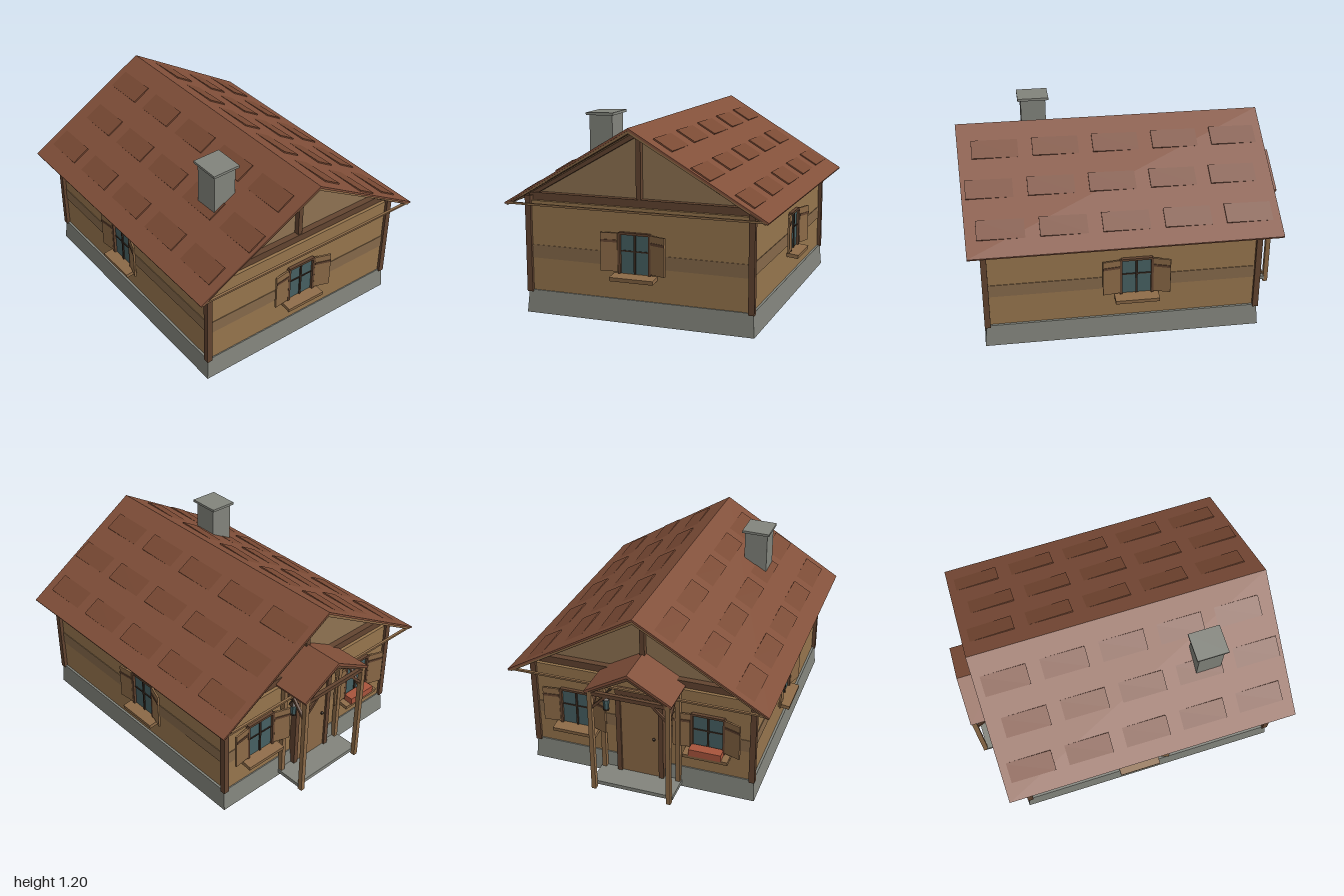
import * as THREE from 'three';

const mat = (color, side = THREE.FrontSide) =>
  new THREE.MeshStandardMaterial({ color, side, flatShading: true });
const M = {
  wall: mat(0x96754d), band: mat(0x86694a), gable: mat(0x8f7352), stone: mat(0x82847c),
  beam: mat(0x624430), trim: mat(0x8c6a47), roof: mat(0x82503a), tile: mat(0x7a4a34),
  glass: mat(0x466062), flower: mat(0xa8543c), dark: mat(0x3a2c22),
};

function add(parent, name, geo, material, x = 0, y = 0, z = 0) {
  const m = new THREE.Mesh(geo, material);
  m.name = name;
  m.position.set(x, y, z);
  parent.add(m);
  return m;
}

// box given by its min and max on each axis
function block(parent, name, material, x0, x1, y0, y1, z0, z1) {
  return add(parent, name, new THREE.BoxGeometry(x1 - x0, y1 - y0, z1 - z0), material,
    (x0 + x1) / 2, (y0 + y1) / 2, (z0 + z1) / 2);
}

// square bar between two points
function bar(parent, name, material, a, b, w, d = w) {
  const A = new THREE.Vector3(...a), B = new THREE.Vector3(...b);
  const m = add(parent, name, new THREE.BoxGeometry(w, d, A.distanceTo(B)), material);
  m.position.copy(A).add(B).multiplyScalar(0.5);
  m.lookAt(B);
  return m;
}

// outline in x,y pushed along z from z0 to z1
function prism(parent, name, material, pts, z0, z1) {
  const shape = new THREE.Shape(pts.map(p => new THREE.Vector2(...p)));
  const geo = new THREE.ExtrudeGeometry(shape, { depth: z1 - z0, bevelEnabled: false });
  return add(parent, name, geo.translate(0, 0, z0), material);
}

// window facing +z with its wall surface at z = 0
function makeWindow(x, z, turn, glassW, flowers) {
  const g = new THREE.Group();
  g.name = 'window';
  const h = glassW / 2, y0 = 0.3, y1 = 0.54;
  block(g, 'glass', M.glass, -h, h, y0, y1, -0.02, 0.006);
  for (const s of [-1, 1])
    block(g, 'frameSide', M.beam, s * h - 0.008, s * h + 0.008, y0, y1, -0.01, 0.022);
  block(g, 'frameTop', M.beam, -h, h, y1 - 0.008, y1 + 0.006, -0.01, 0.022);
  block(g, 'mullion', M.dark, -0.006, 0.006, y0, y1, 0, 0.014);
  block(g, 'crossbar', M.dark, -h, h, 0.43, 0.438, 0, 0.011);
  const sill = block(g, 'sill', M.trim, -h - 0.04, h + 0.04, 0.268, 0.292, -0.01, 0.075);
  sill.rotation.x = 0.12;
  // shutters hang on the frame edges, the right one further ajar
  for (const s of [-1, 1]) {
    const hinge = new THREE.Group();
    hinge.name = 'shutter';
    hinge.position.set(s * (h + 0.006), 0, 0.01);
    hinge.rotation.y = s > 0 ? -0.32 : 0.12;
    const a = s * 0.005, b = s * 0.108;
    block(hinge, 'shutterBoard', M.trim, Math.min(a, b), Math.max(a, b), 0.31, 0.54, 0, 0.012);
    block(hinge, 'shutterRail', M.beam, Math.min(a, b), Math.max(a, b), 0.485, 0.5, 0.01, 0.016);
    g.add(hinge);
  }
  if (flowers) block(g, 'flowerBox', M.flower, -h, h, 0.285, 0.33, 0.015, 0.08);
  g.position.set(x, 0, z);
  g.rotation.y = turn;
  return g;
}

export function createModel() {
  const house = new THREE.Group();
  house.name = 'house';

  // plinth, tapering slightly to the top
  const plinth = block(house, 'foundation', M.stone, -0.715, 0.715, 0, 0.14, -0.8, 0.9);
  const pp = plinth.geometry.attributes.position;
  for (let i = 0; i < pp.count; i++)
    if (pp.getY(i) > 0) pp.setXYZ(i, pp.getX(i) * 0.985, pp.getY(i), pp.getZ(i) * 0.985);

  // walls with a proud plank course
  block(house, 'walls', M.wall, -0.69, 0.69, 0.13, 0.69, -0.78, 0.88);
  block(house, 'plankCourse', M.band, -0.694, 0.694, 0.34, 0.42, -0.784, 0.884);
  for (const x of [-0.695, 0.695]) for (const z of [-0.78, 0.88])
    block(house, 'cornerPost', M.beam, x - 0.018, x + 0.018, 0.13, 0.72, z - 0.018, z + 0.018);

  // recessed gables with truss timbers
  prism(house, 'gable', M.gable, [[-0.7, 0.68], [0.7, 0.68], [0.7, 0.72], [0, 1.135], [-0.7, 0.72]], -0.72, 0.82);
  for (const [z, edge] of [[0.835, 0.96], [-0.735, -0.885]]) {
    block(house, 'tieBeam', M.beam, -0.7, 0.7, 0.685, 0.735, z - 0.025, z + 0.025);
    block(house, 'kingPost', M.beam, -0.015, 0.015, 0.73, 1.12, z - 0.018, z + 0.018);
    block(house, 'eaveTie', M.trim, -0.8, 0.8, 0.678, 0.69, edge - 0.008, edge + 0.008);
    for (const s of [-1, 1]) {
      bar(house, 'rafter', M.beam, [s * 0.71, 0.715, z], [0, 1.122, z], 0.03);
      bar(house, 'bargeBoard', M.beam, [s * 0.795, 0.68, edge], [0, 1.145, edge], 0.016, 0.022);
    }
  }

  // roof: timber lining under a covering, ridge running further forward than the eaves
  const layers = [
    ['roofCovering', M.roof, [[-0.81, 0.685], [0, 1.167], [0.81, 0.685], [0.806, 0.675], [0, 1.152], [-0.806, 0.675]], 0],
    ['roofLining', M.trim, [[-0.8, 0.679], [0, 1.153], [0.8, 0.679], [0.8, 0.67], [0, 1.135], [-0.8, 0.67]], 0.006],
  ];
  for (const [name, m, pts, inset] of layers) {
    const roof = prism(house, name, m, pts, -0.9 + inset, 0.97 - inset);
    const p = roof.geometry.attributes.position;
    for (let i = 0; i < p.count; i++)
      if (p.getZ(i) > 0) p.setZ(i, p.getZ(i) + 0.03 * (1 - Math.abs(p.getX(i)) / 0.81));
    roof.geometry.computeVertexNormals();
  }

  // raised shingles in staggered courses, each tilted so that one end stands proud
  const slope = Math.atan2(0.482, 0.81);
  for (const s of [-1, 1]) {
    const plane = new THREE.Group();
    plane.name = 'shingles';
    plane.position.set(0, 1.167, 0);
    plane.rotation.z = -s * slope;
    [0.2, 0.48, 0.76].forEach((d, col) => {
      for (let row = 0; row < 5; row++) {
        const z = -0.72 + row * 0.37 + (col === 1 ? 0.05 : 0);
        if (z > 0.82) continue;
        const t = add(plane, 'shingle', new THREE.BoxGeometry(0.13, 0.008, 0.3), M.tile, s * d, 0, z);
        t.rotation.x = -0.03;
      }
    });
    house.add(plane);
  }

  // chimney with a slightly tilted cap
  block(house, 'chimney', M.stone, -0.43, -0.28, 0.85, 1.18, 0.42, 0.58);
  const cap = block(house, 'chimneyCap', M.stone, -0.445, -0.265, 1.178, 1.194, 0.4, 0.6);
  cap.rotation.z = 0.03;

  // windows on all four walls
  house.add(
    makeWindow(-0.01, 0.88, 0, 0.19),
    makeWindow(0.69, -0.03, Math.PI / 2, 0.19),
    makeWindow(-0.69, -0.03, -Math.PI / 2, 0.19),
    makeWindow(0.42, -0.78, Math.PI, 0.2),
    makeWindow(-0.42, -0.78, Math.PI, 0.2, true),
  );

  // back door
  block(house, 'door', M.trim, -0.12, 0.12, 0.04, 0.6, -0.812, -0.77);
  for (const s of [-1, 1])
    block(house, 'doorJamb', M.beam, s * 0.135 - 0.015, s * 0.135 + 0.015, 0.04, 0.62, -0.825, -0.77);
  block(house, 'doorLintel', M.beam, -0.15, 0.15, 0.6, 0.63, -0.825, -0.77);
  add(house, 'doorKnob', new THREE.SphereGeometry(0.01, 8, 6), M.dark, -0.09, 0.32, -0.82);

  // porch
  const porch = new THREE.Group();
  porch.name = 'porch';
  house.add(porch);
  block(porch, 'porchDeck', M.stone, -0.26, 0.26, 0.02, 0.045, -0.97, -0.78);
  for (const s of [-1, 1]) {
    const x = s * 0.24;
    block(porch, 'porchPost', M.trim, x - 0.014, x + 0.014, 0, 0.7, -0.995, -0.965);
    block(porch, 'wallPost', M.trim, x - 0.014, x + 0.014, 0.04, 0.7, -0.82, -0.79);
    bar(porch, 'porchPlate', M.beam, [x, 0.69, -0.99], [x, 0.69, -0.78], 0.024);
    bar(porch, 'porchBrace', M.beam, [x, 0.55, -0.97], [x, 0.68, -0.86], 0.016);
    bar(porch, 'frontBrace', M.beam, [x, 0.58, -0.98], [s * 0.14, 0.68, -0.98], 0.016);
    bar(porch, 'porchRafter', M.beam, [s * 0.25, 0.695, -0.985], [0, 0.83, -0.985], 0.018);
  }
  block(porch, 'porchBeam', M.beam, -0.24, 0.24, 0.675, 0.7, -0.992, -0.968);
  prism(porch, 'porchRoof', M.roof,
    [[-0.27, 0.705], [0, 0.86], [0.27, 0.705], [0.265, 0.69], [0, 0.84], [-0.265, 0.69]], -1, -0.72);

  // wall lantern beside the door
  const lantern = new THREE.Group();
  lantern.name = 'lantern';
  lantern.position.set(0.2, 0, -0.845);
  add(lantern, 'lanternGlass', new THREE.CylinderGeometry(0.022, 0.016, 0.07, 6), M.glass, 0, 0.535, 0);
  add(lantern, 'lanternCap', new THREE.ConeGeometry(0.032, 0.03, 6), M.dark, 0, 0.585, 0);
  add(lantern, 'lanternBase', new THREE.CylinderGeometry(0.02, 0.02, 0.01, 6), M.dark, 0, 0.496, 0);
  bar(lantern, 'lanternBracket', M.dark, [0, 0.6, 0], [0, 0.6, 0.065], 0.01);
  house.add(lantern);

  return house;
}
